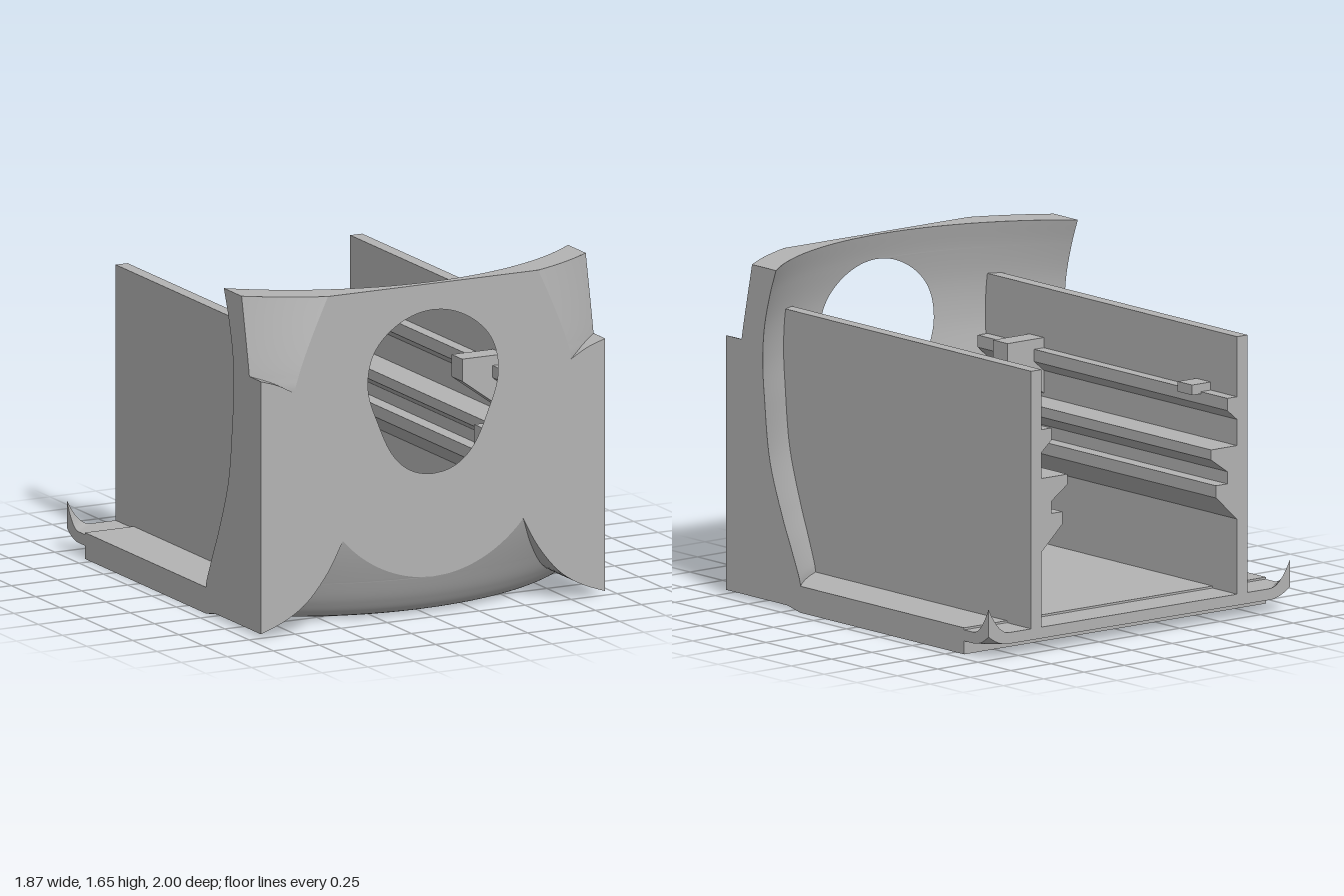
import * as THREE from 'three';
import { mergeGeometries, mergeVertices } from 'three/addons/utils/BufferGeometryUtils.js';

const W = 0.935;      // half width
const Z0 = -0.47;     // vertical axis of the curved shell
const FLAT = 1.47;    // shell radius that reaches the flat face at z = 1
const TOP = 1.65;

const zAt = (r, x) => Math.sqrt(r * r - x * x) + Z0;
const cutX = (r) => Math.sqrt(Math.max(0, r * r - FLAT * FLAT));
const V2 = (x, y) => new THREE.Vector2(x, y);

// Smooth [radius, height] rows, with a row added where the flat face is crossed
function profile(points) {
  const rows = new THREE.CatmullRomCurve3(points.map(([r, y]) => new THREE.Vector3(r, y, 0)))
    .getSpacedPoints(260).map((p) => [p.x, p.y]);
  const out = [rows[0]];
  for (let i = 1; i < rows.length; i++) {
    const [a, b] = [rows[i - 1], rows[i]];
    if ((a[0] - FLAT) * (b[0] - FLAT) < 0) {
      const t = (FLAT - a[0]) / (b[0] - a[0]);
      out.push([FLAT, a[1] + t * (b[1] - a[1])]);
    }
    out.push(b);
  }
  return out;
}

function radiusAt(rows, y) {
  for (let i = 1; i < rows.length; i++) {
    const [a, b] = [rows[i - 1], rows[i]];
    if (y <= b[1]) {
      const t = THREE.MathUtils.clamp((y - a[1]) / (b[1] - a[1] || 1), 0, 1);
      return a[0] + t * (b[0] - a[0]);
    }
  }
  return rows[rows.length - 1][0];
}

// Grid surface from rows of [x, y, z] points
function gridGeometry(rows) {
  const n = rows[0].length, index = [];
  for (let i = 0; i < rows.length - 1; i++) {
    for (let j = 0; j < n - 1; j++) {
      const a = i * n + j;
      index.push(a, a + 1, a + n, a + 1, a + n + 1, a + n);
    }
  }
  const g = new THREE.BufferGeometry();
  g.setAttribute('position', new THREE.Float32BufferAttribute(rows.flat(2), 3));
  g.setIndex(index);
  return g;
}

// Both halves of a revolved wall, each starting at the flat-face cut; dir sets the facing
function shellSurface(rows, dir) {
  const half = (s) => gridGeometry(rows.map(([r, y]) => {
    const x0 = cutX(r), line = [];
    for (let j = 0; j <= 18; j++) {
      const t = s * dir > 0 ? j / 18 : 1 - j / 18;
      const x = x0 + (W - x0) * t;
      line.push([s * x, y, zAt(r, x)]);
    }
    return line;
  }));
  const g = mergeVertices(mergeGeometries([half(1), half(-1)]), 1e-5);
  g.computeVertexNormals();
  return g;
}

export function createModel() {
  const group = new THREE.Group();
  const grey = new THREE.MeshStandardMaterial({ color: 0xb3b3b3, side: THREE.DoubleSide });
  grey.name = 'plain grey';
  const add = (name, geometry) => {
    const mesh = new THREE.Mesh(geometry, grey);
    mesh.name = name;
    group.add(mesh);
    return mesh;
  };
  const box = (name, x0, x1, y0, y1, z0, z1) => add(name,
    new THREE.BoxGeometry(Math.abs(x1 - x0), y1 - y0, z1 - z0)
      .translate((x0 + x1) / 2, (y0 + y1) / 2, (z0 + z1) / 2));
  const extrude = (pts, depth) => new THREE.ExtrudeGeometry(new THREE.Shape(pts),
    { depth, bevelEnabled: false });

  // Curved shell: inner and outer walls
  const inner = profile([[1.298, 0.13], [1.303, 0.16], [1.347, 0.3], [1.398, 0.45], [1.47, 0.71],
    [1.501, 1.0], [1.512, 1.18], [1.503, 1.35], [1.47, 1.52], [1.434, TOP]]);
  const outer = profile([[1.30, 0], [1.37, 0.025], [1.42, 0.09], [1.47, 0.2], [1.549, 0.43],
    [1.62, 0.8], [1.65, 1.19], [1.642, 1.27], [1.577, TOP]]);
  const lower = outer.filter(([, y]) => y <= 0.43);
  const upper = outer.filter(([, y]) => y >= 1.19);
  add('innerShell', shellSurface(inner, -1));
  add('lowerOuterShell', shellSurface(lower, 1));
  add('upperOuterShell', shellSurface(upper, 1));

  // Curved edges of the corner blocks that carry the flat face outward
  const arc = (...p) => new THREE.SplineCurve(p.map(([x, y]) => V2(x, y))).getPoints(20);
  const ledge = arc([0.75, 1.19], [0.84, 1.238], [W, 1.27]);
  const lobe = arc([W, 0.02], [0.8, 0.072], [0.68, 0.152], [0.57, 0.285], [0.49, 0.43]);

  // Flat front face with the oval opening
  const right = [
    ...upper.slice().reverse().map(([r, y]) => V2(cutX(r), y)), ...ledge, ...lobe,
    ...lower.filter(([r]) => r >= FLAT).reverse().map(([r, y]) => V2(cutX(r), y)),
  ];
  const mirrored = right.slice(0, -1).reverse().map((p) => V2(-p.x, p.y));
  const face = new THREE.Shape([...right, ...mirrored].reverse());
  const opening = inner.filter(([r]) => r >= FLAT);
  face.holes.push(new THREE.Path([
    ...opening.map(([r, y]) => V2(cutX(r), y)),
    ...opening.slice(1, -1).reverse().map(([r, y]) => V2(-cutX(r), y)),
  ]));
  add('frontFace', new THREE.ShapeGeometry(face).translate(0, 0, 1));

  // Top rim of the shell
  const xs = Array.from({ length: 61 }, (_, i) => -W + (2 * W * i) / 60);
  const rIn = inner[inner.length - 1][0], rOut = outer[outer.length - 1][0];
  const rim = new THREE.Shape([
    ...xs.map((x) => V2(x, -Math.min(1, zAt(rOut, x)))),
    ...xs.slice().reverse().map((x) => V2(x, -zAt(rIn, x))),
  ]);
  add('topRim', new THREE.ShapeGeometry(rim).rotateX(-Math.PI / 2).translate(0, TOP, 0));

  // Floor with a curved front edge
  add('floor', extrude([V2(-W, 0.815), ...xs.map((x) => V2(x, -zAt(1.3, x))), V2(W, 0.815)], 0.13)
    .rotateX(-Math.PI / 2));
  box('floorTab', -0.33, 0.33, 0.02, 0.1, -0.822, -0.8);

  // Rear lip whose corners curl upward
  const lip = new THREE.BoxGeometry(2 * W, 0.055, 0.19, 80, 1, 16).translate(0, 0.0925, -0.905);
  const pos = lip.attributes.position;
  for (let i = 0; i < pos.count; i++) {
    const t = Math.max(0, (Math.hypot(pos.getX(i), pos.getZ(i)) - 1.285) / 0.084);
    pos.setY(i, pos.getY(i) + t * t * (pos.getY(i) > 0.09 ? 0.13 : 0.05));
  }
  lip.computeVertexNormals();
  add('rearLip', lip);

  // Rail cross-sections as [distance from wall, height]
  const upperRail = [[-0.01, 1.09], [0.06, 1.09], [0.06, 1.03], [-0.01, 0.97]];
  const lowerRail = [[-0.01, 0.85], [0.16, 0.85], [0.16, 0.8], [0.06, 0.73], [0.06, 0.67],
    [0.13, 0.67], [0.13, 0.61], [-0.01, 0.48]];
  const stop = [[-0.01, 1.14], [0.225, 1.14], [0.225, 1.03], [-0.01, 0.86]];
  const wallRows = inner.filter(([, y]) => y < 1.385);

  for (const s of [1, -1]) {
    // Ledge and lobe edges running back from the flat face to the shell
    for (const [name, pts] of [['upperLedge', ledge], ['lowerLobeEdge', lobe]]) {
      const g = gridGeometry([
        pts.map((p) => [s * p.x, p.y, 1]),
        pts.map((p) => [s * p.x, p.y, Math.min(1, zAt(radiusAt(outer, p.y), p.x))]),
      ]);
      g.computeVertexNormals();
      add(name, g);
    }

    // Flat side of the shell
    const side = new THREE.Shape([
      ...inner.map(([r, y]) => V2(zAt(r, W), y)),
      ...outer.filter(([, y]) => y >= 1.27).reverse().map(([r, y]) => V2(zAt(r, W), y)),
      V2(1, 1.27), V2(1, 0.02), V2(zAt(1.37, W), 0.02), V2(zAt(1.3, W), 0),
    ]);
    add('shellSide', new THREE.ShapeGeometry(side).rotateY(-Math.PI / 2).translate(s * W, 0, 0));

    // Upright wall, its front edge following the shell
    const wall = [V2(-1, 1.385), V2(-1, 0.1), ...wallRows.map(([r, y]) => V2(zAt(r, 0.64) + 0.03, y)),
      V2(zAt(radiusAt(inner, 1.385), 0.64) + 0.03, 1.385)];
    add('sideWall', extrude(wall, 0.065).rotateY(-Math.PI / 2)
      .translate(s > 0 ? 0.67 : -0.605, 0, 0));

    // Guide rails and stop on the inside of the wall
    const rail = (name, pts, z0, z1) => add(name,
      extrude(pts.map(([d, y]) => V2(s * (0.605 - d), y)), z1 - z0).translate(0, 0, z0));
    rail('upperRail', upperRail, -1, 0.9);
    rail('lowerRail', lowerRail, -1, 0.9);
    rail('railStop', stop, 0.47, 0.58);
    box('rearClip', s * 0.49, s * 0.61, 1.08, 1.13, -0.8, -0.69);
    box('frontStop', s * 0.35, s * 0.48, 0.64, 0.86, 0.76, 0.88);
  }
  return group;
}
